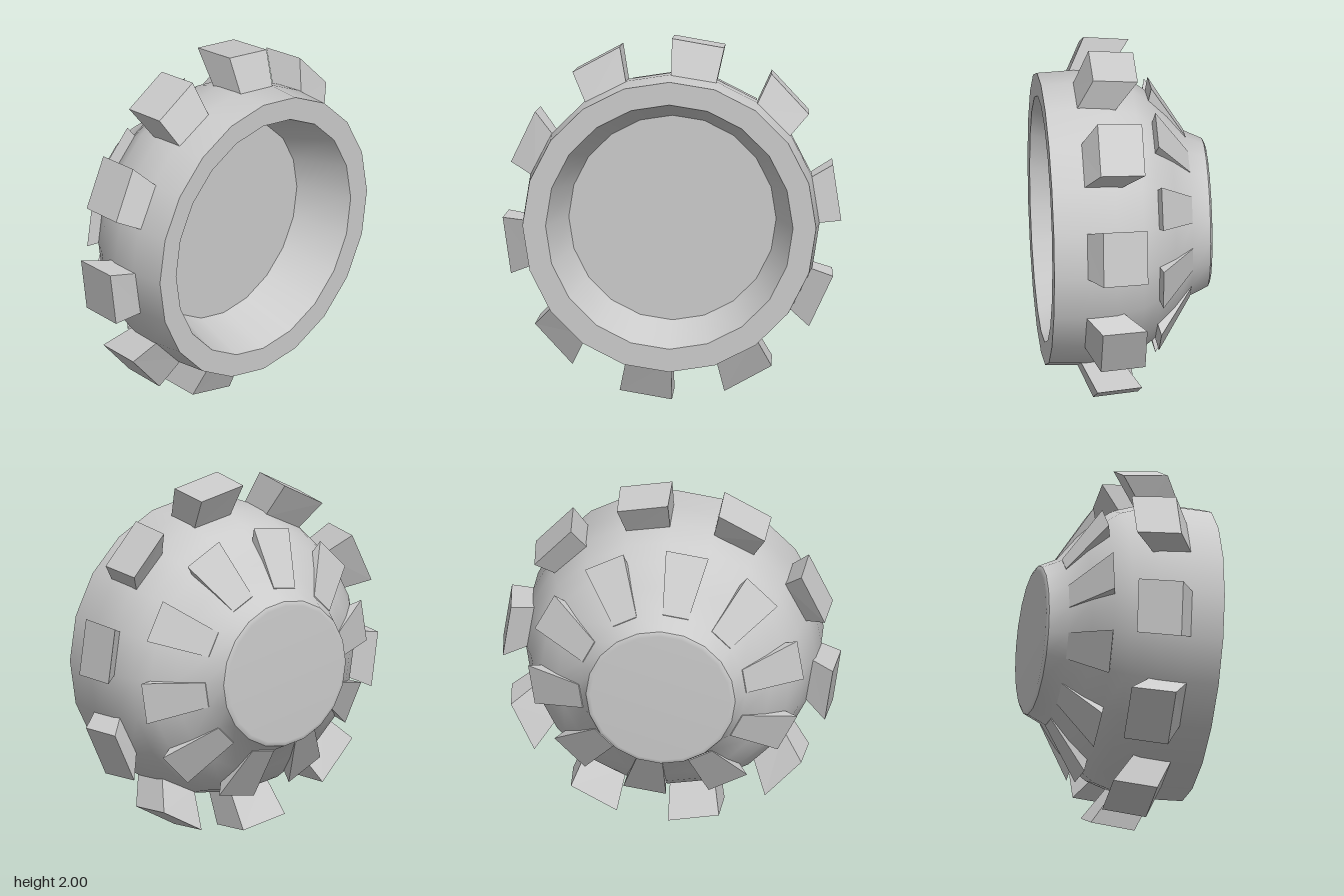
import * as THREE from 'three';

const SIDES = 20;
const STEP = (Math.PI * 2) / SIDES;
const material = new THREE.MeshStandardMaterial({ color: 0xcccccc });
const flatMaterial = new THREE.MeshStandardMaterial({ color: 0xcccccc, flatShading: true });

// Surface of revolution about z; profile is a list of [radius, z]
function revolve(name, profile) {
  const geometry = new THREE.LatheGeometry(profile.map(([r, z]) => new THREE.Vector2(r, z)), SIDES);
  geometry.rotateX(Math.PI / 2);
  const mesh = new THREE.Mesh(geometry, material);
  mesh.name = name;
  return mesh;
}

// Block spanning one facet of the shell; section is four [radius, z, xScale] corners
function facetBlock(name, section, facet) {
  const ring = (a) => section.map(([r, z, sx = 1]) => [r * sx * Math.sin(a), r * Math.cos(a), z]);
  const a = ring(facet * STEP);
  const b = ring((facet + 1) * STEP);
  const positions = [];
  const quad = (p, q, r, s) => positions.push(...p, ...q, ...r, ...p, ...r, ...s);
  for (let i = 0; i < 4; i++) {
    const j = (i + 1) % 4;
    quad(a[i], b[i], b[j], a[j]);
  }
  quad(...a);
  quad(...b.reverse());
  const geometry = new THREE.BufferGeometry();
  geometry.setAttribute('position', new THREE.Float32BufferAttribute(positions, 3));
  geometry.computeVertexNormals();
  const mesh = new THREE.Mesh(geometry, flatMaterial);
  mesh.name = name;
  return mesh;
}

export function createModel() {
  const model = new THREE.Group();
  model.name = 'toothedBowl';
  model.position.y = 1;

  // Domed shell, hollow at the front, closed at the back by a softly bevelled cap
  model.add(
    revolve('backCap', [[0, -0.455], [0.385, -0.455], [0.41, -0.443]]),
    revolve('outerShell', [
      [0.41, -0.443], [0.458, -0.34], [0.585, -0.24], [0.685, -0.14],
      [0.75, -0.05], [0.797, 0.1], [0.811, 0.25], [0.803, 0.45],
    ]),
    revolve('frontRim', [[0.803, 0.45], [0.677, 0.45]]),
    revolve('innerWall', [[0.677, 0.45], [0.567, 0.145]]),
    revolve('innerFloor', [[0.567, 0.145], [0, 0.145]]),
  );

  // Teeth on every second facet lean backwards; low fins sit on the facets between
  const tooth = [[1, 0.19, 0.926], [0.978, -0.055, 0.926], [0.77, 0.075], [0.78, 0.287]];
  const fin = [[0.757, -0.155], [0.462, -0.342], [0.4, -0.32], [0.62, -0.124]];
  for (let i = 0; i < SIDES; i += 2) {
    model.add(facetBlock('tooth', tooth, i));
    model.add(facetBlock('fin', fin, i + 1));
  }

  const root = new THREE.Group();
  root.add(model);
  return root;
}
